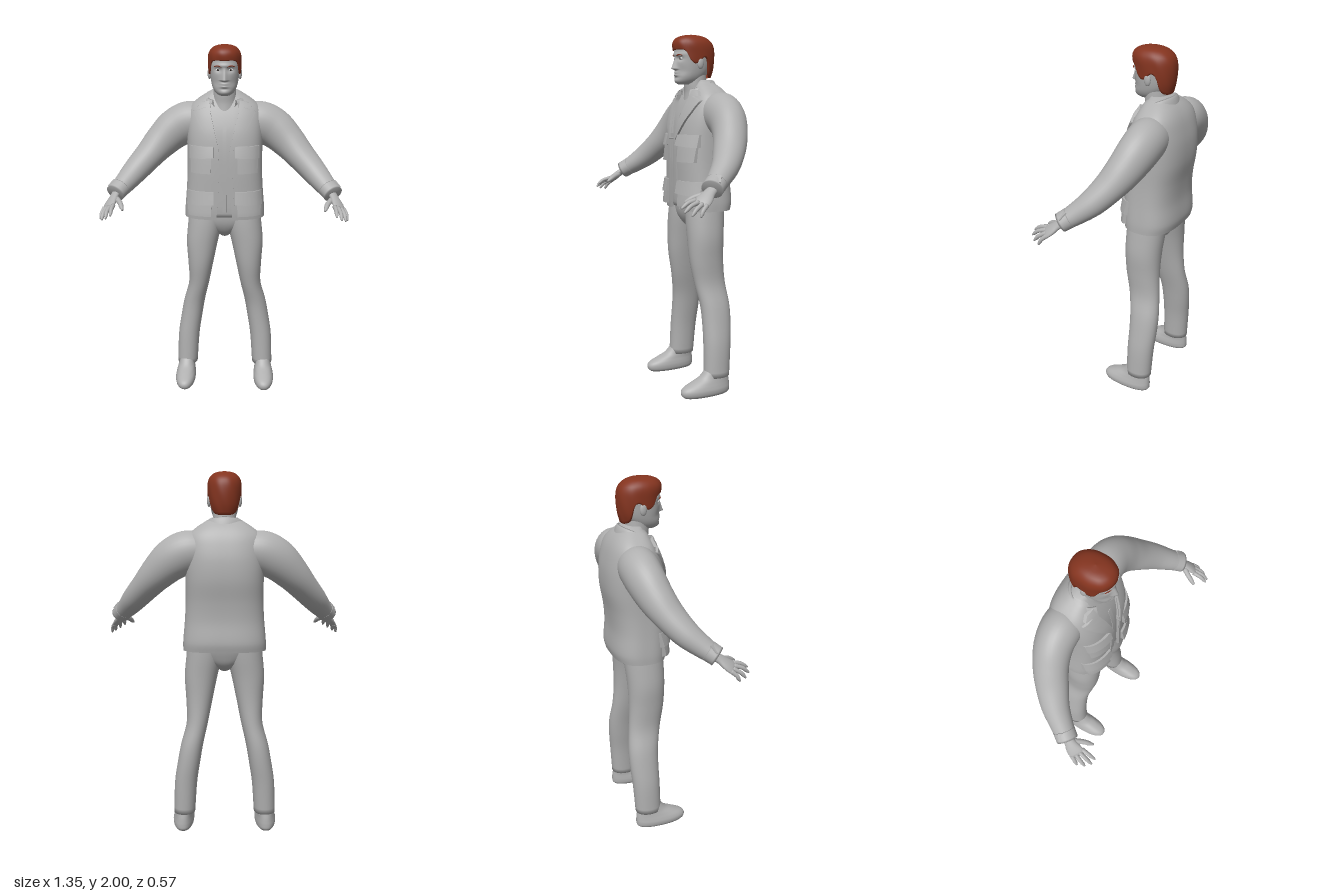
import * as THREE from 'three';
import { mergeVertices } from 'three/addons/utils/BufferGeometryUtils.js';

const TAU = Math.PI * 2;
const mat = (name, color) => Object.assign(new THREE.MeshStandardMaterial({ color, side: THREE.DoubleSide }), { name });
const bump = (d, w) => Math.exp(-((d / w) ** 2));

// Smooth surface from a rule fn(u, v) -> [x, y, z]
function grid(nu, nv, fn) {
  const pos = [], idx = [];
  for (let j = 0; j <= nv; j++) for (let i = 0; i <= nu; i++) pos.push(...fn(i / nu, j / nv));
  for (let j = 0; j < nv; j++) for (let i = 0; i < nu; i++) {
    const a = j * (nu + 1) + i, b = a + nu + 1;
    idx.push(a, a + 1, b, a + 1, b + 1, b);
  }
  let g = new THREE.BufferGeometry();
  g.setAttribute('position', new THREE.Float32BufferAttribute(pos, 3));
  g.setIndex(idx);
  g = mergeVertices(g, 1e-5);
  g.computeVertexNormals();
  return g;
}

// Smooth lookup in rows of [y, ...values]
function at(rows, y) {
  const n = rows.length - 1;
  y = THREE.MathUtils.clamp(y, rows[0][0], rows[n][0]);
  let i = 0;
  while (i < n - 1 && y > rows[i + 1][0]) i++;
  const h = rows[i + 1][0] - rows[i][0], t = (y - rows[i][0]) / h;
  const slope = (k, c) => {
    const a = rows[Math.max(k - 1, 0)], b = rows[Math.min(k + 1, n)];
    return (b[c] - a[c]) / (b[0] - a[0]);
  };
  return rows[0].map((_, c) => c === 0 ? y :
    (2 * t ** 3 - 3 * t * t + 1) * rows[i][c] + (t ** 3 - 2 * t * t + t) * h * slope(i, c) +
    (3 * t * t - 2 * t ** 3) * rows[i + 1][c] + (t ** 3 - t * t) * h * slope(i + 1, c));
}

// Point on a level ring; row = [y, cx, rx, zFront, zBack], angle 0 faces the front
function ring([y, cx, rx, zf, zb], a, e = 2) {
  const p = (v) => Math.sign(v) * Math.abs(v) ** (2 / e);
  return [cx + rx * p(Math.sin(a)), y, (zf + zb) / 2 + (zf - zb) / 2 * p(Math.cos(a))];
}

// Capped body from level rings
function loft(rows, e = 2, nu = 40, nv = 36) {
  const y0 = rows[0][0], y1 = rows[rows.length - 1][0];
  return grid(nu, nv, (u, v) => {
    const j = Math.round(v * nv);
    const r = at(rows, y0 + (y1 - y0) * THREE.MathUtils.clamp((j - 1) / (nv - 2), 0, 1));
    if (j === 0 || j === nv) return [r[1], r[0], (r[3] + r[4]) / 2];
    return ring(r, u * TAU, e);
  });
}

// Capped tube through [x, y, z, radiusA, radiusB]; radiusA lies along ref
function limb(pts, ref, nu = 24, nv = 30) {
  const V = (p) => new THREE.Vector3(...p);
  const path = new THREE.CatmullRomCurve3(pts.map(p => V(p.slice(0, 3))));
  const radii = pts.map((p, i) => [i, p[3], p[4] ?? p[3]]);
  return grid(nu, nv, (u, v) => {
    const j = Math.round(v * nv), t = THREE.MathUtils.clamp((j - 1) / (nv - 2), 0, 1);
    const c = path.getPoint(t), T = path.getTangent(t), [, ra, rb] = at(radii, t * (pts.length - 1));
    if (j === 0 || j === nv) return c.toArray();
    const A = V(ref).addScaledVector(T, -T.dot(V(ref))).normalize(), B = T.clone().cross(A);
    return c.addScaledVector(A, ra * Math.cos(u * TAU)).addScaledVector(B, rb * Math.sin(u * TAU)).toArray();
  });
}

function mirrored(geo) {
  const g = geo.clone().scale(-1, 1, 1), ix = g.index.array;
  for (let i = 0; i < ix.length; i += 3) [ix[i], ix[i + 1]] = [ix[i + 1], ix[i]];
  return g;
}

// Jacket body: rings and half-width of the front opening
const JE = 2.7;
const jacketRows = [
  [1.035, 0, .228, .035, -.255], [1.08, 0, .228, .04, -.265], [1.2, 0, .218, .043, -.258], [1.3, 0, .213, .045, -.265],
  [1.42, 0, .213, .043, -.284], [1.52, 0, .215, .03, -.284], [1.6, 0, .212, .005, -.27], [1.66, 0, .195, -.022, -.25],
  [1.705, 0, .145, -.045, -.22], [1.74, 0, .09, -.06, -.18]];
const opening = [[1.035, .045], [1.15, .036], [1.3, .028], [1.45, .032], [1.56, .055], [1.65, .08], [1.74, .08]];

// Depth of the jacket front at x, y
function chest(x, y) {
  const [, , rx, zf, zb] = at(jacketRows, y);
  const k = Math.min(Math.abs(x) / rx, .985);
  return (zf + zb) / 2 + (zf - zb) / 2 * (1 - k ** JE) ** (1 / JE);
}

// Raised cloth panel on the jacket; rows [xInner, yInner, xOuter, yOuter] from top to bottom
function panel(rows, thickTop, thickLow = thickTop) {
  const g = new THREE.BoxGeometry(1, 1, 1, 10, 16, 1), p = g.attributes.position;
  for (let i = 0; i < p.count; i++) {
    const u = p.getX(i) + .5, w = .5 - p.getY(i), s = w * (rows.length - 1);
    const k = Math.min(Math.floor(s), rows.length - 2);
    const q = rows[k].map((a, c) => a + (rows[k + 1][c] - a) * (s - k));
    const x = q[0] + (q[2] - q[0]) * u, y = q[1] + (q[3] - q[1]) * u;
    p.setXYZ(i, x, y, chest(x, y) + (p.getZ(i) > 0 ? thickTop + (thickLow - thickTop) * w : -.012));
  }
  g.computeVertexNormals();
  return g;
}

// Folded collar running round the back of the neck
const collar = (rOut, rTop, yOut, yTop, drop, reach) => grid(48, 10, (u, v) => {
  const a = (1 - 2 * u) * reach, k = (1 - Math.cos(a)) / 2;
  const r = v < .6 ? rOut + (rTop - rOut) * v / .6 : rTop - .015 * (v - .6) / .4;
  const y = v < .6 ? yOut + (yTop - yOut) * Math.sin(v / .6 * Math.PI / 2) : yTop - .06 * (v - .6) / .4;
  return [r * Math.sin(a), y - drop * k, -.1 - r * .85 * Math.cos(a)];
});

const headRows = [
  [1.728, 0, .03, .012, -.1], [1.74, 0, .048, .027, -.12], [1.765, 0, .064, .031, -.14], [1.8, 0, .074, .03, -.165],
  [1.85, 0, .081, .031, -.18], [1.9, 0, .084, .032, -.187], [1.95, 0, .076, .02, -.172], [1.98, 0, .045, -.02, -.13]];
const hairRows = [
  [1.76, 0, .066, -.01, -.178], [1.82, 0, .086, .022, -.194], [1.9, 0, .092, .036, -.199], [1.95, 0, .088, .042, -.187],
  [1.98, 0, .068, .022, -.155], [1.994, 0, .04, -.015, -.115], [2, 0, .001, -.064, -.066]];
// Hairline height by angle away from the front
const hairline = [[0, 1.915], [.55, 1.915], [.85, 1.905], [1.05, 1.86], [1.3, 1.84], [1.5, 1.85], [1.7, 1.875],
  [1.95, 1.86], [2.15, 1.79], [2.5, 1.768], [3.15, 1.765]];

function faceGeometry() {
  const g = loft(headRows, 2.15, 96, 80), p = g.attributes.position;
  for (let i = 0; i < p.count; i++) {
    const x = p.getX(i), y = p.getY(i), z = p.getZ(i), ax = Math.abs(x);
    if (z < -.03) continue;
    const nose = y > 1.812 ? Math.max(0, 1 - (y - 1.815) / .065) : Math.max(0, 1 - (1.812 - y) / .008);
    const dz = .026 * nose * bump(x, .008 + .009 * nose)
      - .011 * bump(ax - .034, .018) * bump(y - 1.867, .013) + .005 * bump(y - 1.889, .01) * bump(x, .06)
      + .006 * bump(x, .02) * (bump(y - 1.792, .006) + bump(y - 1.778, .006)) - .004 * bump(y - 1.765, .007) * bump(x, .025)
      + .004 * bump(x, .025) * bump(y - 1.745, .012) - .004 * bump(ax - .048, .02) * bump(y - 1.8, .025);
    p.setZ(i, z + dz);
  }
  g.computeVertexNormals();
  return g;
}

export function createModel() {
  const root = new THREE.Group();
  const grey = mat('plain grey', 0xb0b0b0), hair = mat('auburn hair', 0x84341f);
  const white = mat('eye white', 0xdcdcdc), dark = mat('dark iris', 0x2b2320);
  const add = (name, geo, m = grey) => {
    const mesh = new THREE.Mesh(geo, m);
    mesh.name = name;
    root.add(mesh);
  };
  const pair = (name, geo, m) => { add(name + 'Left', geo, m); add(name + 'Right', mirrored(geo), m); };
  const ball = (x, y, z, rx, ry, rz) => new THREE.SphereGeometry(1, 20, 14).scale(rx, ry, rz).translate(x, y, z);

  // Head
  add('head', faceGeometry());
  add('neck', loft([[1.6, 0, .08, -.02, -.17], [1.68, 0, .068, -.03, -.16], [1.73, 0, .064, -.028, -.155], [1.8, 0, .062, -.03, -.15]]));
  add('hair', grid(72, 26, (u, v) => {
    const a = u * TAU, low = at(hairline, Math.min(a, TAU - a))[1];
    const y = low + (2 - low) * Math.sin(Math.max(0, v * 26 - 1) / 25 * Math.PI / 2);
    const q = ring(at(hairRows, y), a, 2.2), s = v === 0 ? .86 : 1 + .008 * Math.sin(a * 9 + y * 40) * (1 - v);
    return [q[0] * s, y, -.08 + (q[2] + .08) * s];
  }), hair);
  pair('ear', ball(.084, 1.842, -.082, .011, .032, .019).rotateX(0));
  pair('eye', ball(.034, 1.867, .012, .013, .0075, .009), white);
  pair('iris', ball(.034, 1.867, .0185, .0052, .0058, .004), dark);
  pair('eyebrow', limb([[.014, 1.882, .0315, .002], [.034, 1.888, .028, .0035], [.056, 1.884, .016, .0015]], [0, 1, 0], 8, 14), hair);

  // Shirt and open jacket
  add('shirt', loft(jacketRows.map(([y, c, rx, f, b]) => [y + .012, c, rx - .02, f - .018, b + .02]), JE));
  add('shirtCollar', collar(.088, .077, 1.69, 1.735, .075, 2.85));
  add('shirtPlacket', panel([[-.011, 1.57, .011, 1.57], [-.011, 1.08, .011, 1.08]], -.009));
  add('jacketBody', grid(80, 44, (u, v) => {
    const y = 1.035 + .705 * v, r = at(jacketRows, y);
    const g = Math.asin((at(opening, y)[1] / r[2]) ** (JE / 2));
    return ring(r, g + (TAU - 2 * g) * u, JE);
  }));
  add('jacketCollar', collar(.142, .102, 1.675, 1.755, .06, 2.5));
  pair('frontEdge', panel([[.032, 1.46, .05, 1.46], [.028, 1.3, .046, 1.3], [.036, 1.15, .054, 1.15], [.045, 1.04, .063, 1.04]], .006));
  pair('lapel', panel([[.075, 1.675, .125, 1.655], [.078, 1.64, .172, 1.64], [.064, 1.58, .14, 1.575], [.045, 1.5, .085, 1.49],
    [.03, 1.43, .04, 1.425]], .013));
  pair('collarLeaf', panel([[.082, 1.7, .125, 1.69], [.08, 1.665, .152, 1.662]], .016));
  pair('chestPocket', panel([[.07, 1.43, .19, 1.43], [.075, 1.305, .185, 1.305]], .008, .02));
  pair('chestPocketFlap', panel([[.06, 1.455, .195, 1.455], [.06, 1.395, .195, 1.385]], .012, .024));
  pair('hipPocket', panel([[.07, 1.17, .208, 1.17], [.075, 1.06, .205, 1.06]], .008, .024));
  pair('hipPocketFlap', panel([[.06, 1.2, .21, 1.2], [.06, 1.13, .212, 1.12]], .012, .026));

  // Sleeves and cuffs
  pair('sleeve', limb([[.12, 1.575, -.145, .1], [.2, 1.568, -.148, .116, .105], [.28, 1.53, -.142, .113, .1], [.36, 1.46, -.115, .097, .092],
    [.43, 1.385, -.07, .08, .085], [.5, 1.31, -.01, .069, .073], [.555, 1.25, .06, .056, .06], [.594, 1.212, .112, .046, .052]], [0, 1, 0], 32, 44));
  pair('cuff', limb([[.57, 1.236, .08, .053, .058], [.598, 1.209, .118, .05, .057]], [0, 1, 0], 28, 8));
  pair('cuffTab', new THREE.BoxGeometry(.05, .014, .03).rotateZ(-.75).rotateY(-.6).translate(.613, 1.258, .094));

  // Hands
  const across = [-.047, .02, .035];
  pair('palm', limb([[.588, 1.215, .1, .026, .021], [.602, 1.192, .135, .03, .018], [.616, 1.167, .165, .04, .017],
    [.624, 1.15, .188, .042, .014], [.628, 1.143, .198, .034, .008]], across, 20, 20));
  const fingers = {
    indexFinger: [[.596, 1.162, .205], [.599, 1.15, .25], [.6, 1.125, .286]],
    middleFinger: [[.615, 1.154, .2], [.624, 1.137, .248], [.627, 1.108, .282]],
    ringFinger: [[.633, 1.147, .188], [.647, 1.123, .228], [.652, 1.094, .254]],
    littleFinger: [[.648, 1.141, .172], [.661, 1.117, .199], [.667, 1.088, .215]],
    thumb: [[.583, 1.185, .15], [.558, 1.17, .195], [.541, 1.146, .24]],
  };
  for (const [name, [a, b, c]] of Object.entries(fingers)) {
    const r = name === 'thumb' ? .0135 : .0105;
    const mid = b.map((n, i) => (n + c[i]) / 2);
    pair(name, limb([[...a, r * 1.15], [...b, r], [...mid, r * .9], [...c, r * .45]], across, 12, 16));
  }

  // Trousers
  add('pelvis', loft([[.915, 0, .02, -.06, -.13], [.95, 0, .08, -.025, -.175], [1, 0, .165, 0, -.2], [1.06, 0, .2, .008, -.215],
    [1.14, 0, .195, .005, -.215]], 2.3));
  pair('trouserLeg', loft([[.1, .228, .06, -.04, -.19], [.28, .218, .063, -.044, -.202], [.4, .2, .063, -.045, -.212], [.5, .182, .062, -.04, -.213],
    [.62, .153, .06, -.018, -.2], [.75, .141, .074, .005, -.192], [.88, .131, .091, .013, -.195], [1, .112, .1, .013, -.205],
    [1.1, .1, .1, .005, -.21]], 2.15));

  // Shoes
  pair('shoe', loft([[0, .236, .046, .09, -.178], [.012, .236, .056, .104, -.188], [.035, .236, .06, .108, -.19], [.055, .235, .057, .092, -.189],
    [.075, .234, .052, .05, -.187], [.1, .232, .048, -.005, -.183], [.14, .23, .045, -.045, -.178]], 2.25));
  return root;
}
